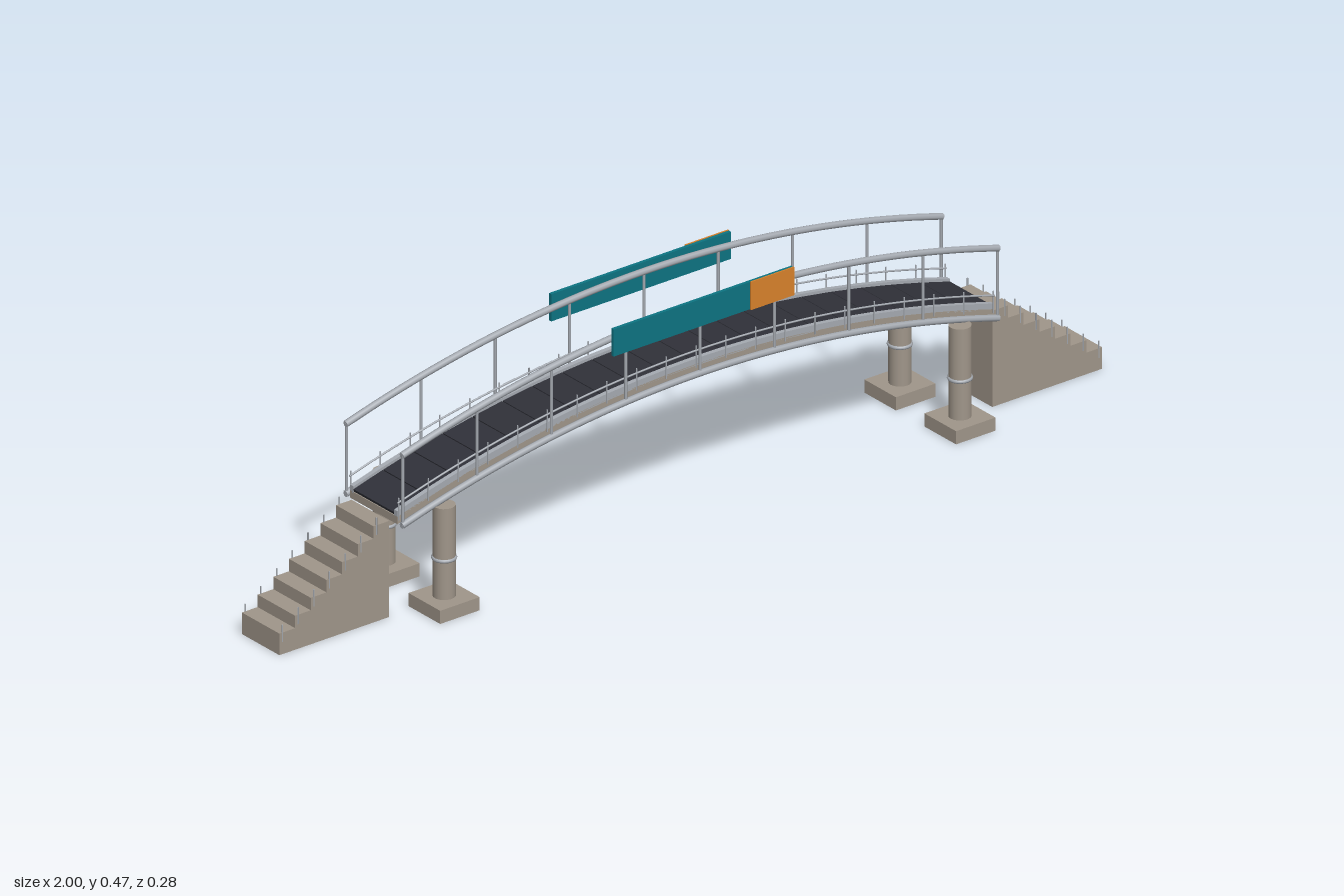
import * as THREE from 'three';

const mat = (name, color) => {
  const m = new THREE.MeshStandardMaterial({ color });
  m.name = name;
  return m;
};

export function createModel() {
  const concrete = mat('concrete', 0xa0968a);
  const steel = mat('steel', 0xa6abb2);
  const asphalt = mat('darkDeck', 0x303139);
  const teal = mat('teal', 0x0d7482);
  const orange = mat('orange', 0xd8822c);

  const HALF = 0.725, RISE = 0.104, BAYS = 20;
  const arch = (x) => RISE * (1 - (x / HALF) ** 2);

  const model = new THREE.Group();
  model.name = 'footbridge';

  const add = (name, geo, material, x = 0, y = 0, z = 0) => {
    const mesh = new THREE.Mesh(geo, material);
    mesh.name = name;
    mesh.position.set(x, y, z);
    model.add(mesh);
    return mesh;
  };
  const box = (name, w, h, d, material, x, y, z) =>
    add(name, new THREE.BoxGeometry(w, h, d), material, x, y, z);
  const post = (name, r, y0, y1, material, x, z, sides = 6) =>
    add(name, new THREE.CylinderGeometry(r, r, y1 - y0, sides), material, x, (y0 + y1) / 2, z);

  // Bar following the arch, with its end height between y0 and y1
  const archBar = (name, y0, y1, width, material, z) => {
    const pts = [];
    for (let i = 0; i <= BAYS; i++) {
      const x = -HALF + (2 * HALF * i) / BAYS;
      pts.push(new THREE.Vector2(x, y0 + arch(x)));
    }
    for (let i = BAYS; i >= 0; i--) {
      const x = -HALF + (2 * HALF * i) / BAYS;
      pts.push(new THREE.Vector2(x, y1 + arch(x)));
    }
    const geo = new THREE.ExtrudeGeometry(new THREE.Shape(pts), { depth: width, bevelEnabled: false });
    geo.translate(0, 0, -width / 2);
    return add(name, geo, material, 0, 0, z);
  };

  // Round rail following the arch, with closed ends
  const archTube = (name, y, r, z) => {
    const pts = [];
    for (let i = 0; i <= BAYS; i++) {
      const x = -HALF + (2 * HALF * i) / BAYS;
      pts.push(new THREE.Vector3(x, y + arch(x), z));
    }
    add(name, new THREE.TubeGeometry(new THREE.CatmullRomCurve3(pts), 40, r, 8), steel);
    for (const s of [-1, 1]) {
      const cap = add(name + 'Cap', new THREE.CircleGeometry(r, 8), steel, s * HALF, y, z);
      cap.rotation.y = (s * Math.PI) / 2;
    }
  };

  // Concrete deck slab and the dark walking panels on it
  archBar('deckSlab', 0.201, 0.217, 0.146, concrete, 0);
  const bay = (2 * HALF) / BAYS;
  for (let i = 0; i < BAYS; i++) {
    const x0 = -HALF + i * bay, x1 = x0 + bay;
    const dy = arch(x1) - arch(x0);
    const panel = box('deckPanel', Math.hypot(bay, dy) - 0.002, 0.008, 0.126, asphalt,
      (x0 + x1) / 2, 0.219 + (arch(x0) + arch(x1)) / 2, 0);
    panel.rotation.z = Math.atan2(dy, bay);
  }

  for (const s of [-1, 1]) {
    // Side girder, kerb and handrail
    archTube('sideGirder', 0.204, 0.007, s * 0.087);
    archTube('handrail', 0.353, 0.007, s * 0.087);
    archBar('kerb', 0.214, 0.229, 0.01, steel, s * 0.068);
    for (let i = 0; i <= 8; i++) {
      const x = -HALF + (i * HALF) / 4;
      post('railPost', 0.003, 0.204 + arch(x), 0.353 + arch(x), steel, x * 0.997, s * 0.087);
    }

    // Low wire rail beside the walkway
    archTube('lowRail', 0.247, 0.002, s * 0.0745);
    for (let i = 0; i <= BAYS; i++) {
      const x = -HALF + i * bay;
      post('lowRailPost', 0.0015, 0.21 + arch(x), 0.257 + arch(x), steel, x * 0.997, s * 0.0745);
    }

    // Sign panel with its orange end plate
    box('signPanel', 0.437, 0.058, 0.007, teal, -0.002, 0.444, s * 0.0965);
    box('signEndPlate', 0.105, 0.06, 0.003, orange, 0.164, 0.444, s * 0.1015);

    // Piers with footings and steel collars
    for (const e of [-1, 1]) {
      box('pierFooting', 0.096, 0.028, 0.098, concrete, e * 0.627, 0.014, s * 0.093);
      post('pier', 0.0225, 0.028, 0.222, concrete, e * 0.627, s * 0.093, 16);
      const collar = add('pierCollar', new THREE.TorusGeometry(0.0215, 0.004, 8, 20), steel,
        e * 0.627, 0.11, s * 0.093);
      collar.rotation.x = Math.PI / 2;
    }
  }

  // Stairs at both ends, with small edge posts
  const STEPS = 7, tread = 0.267 / STEPS;
  for (const e of [-1, 1]) {
    for (let i = 0; i < STEPS; i++) {
      const h = 0.046 + i * 0.0265;
      const x = e * (1 - (i + 0.5) * tread);
      box('stairStep', tread, h, 0.116, concrete, x, h / 2, 0);
      for (const s of [-1, 1]) {
        post('stairEdgePost', 0.0015, h - 0.02, h + 0.016, steel, x + e * tread * 0.3, s * 0.0575);
      }
    }
  }

  return model;
}
